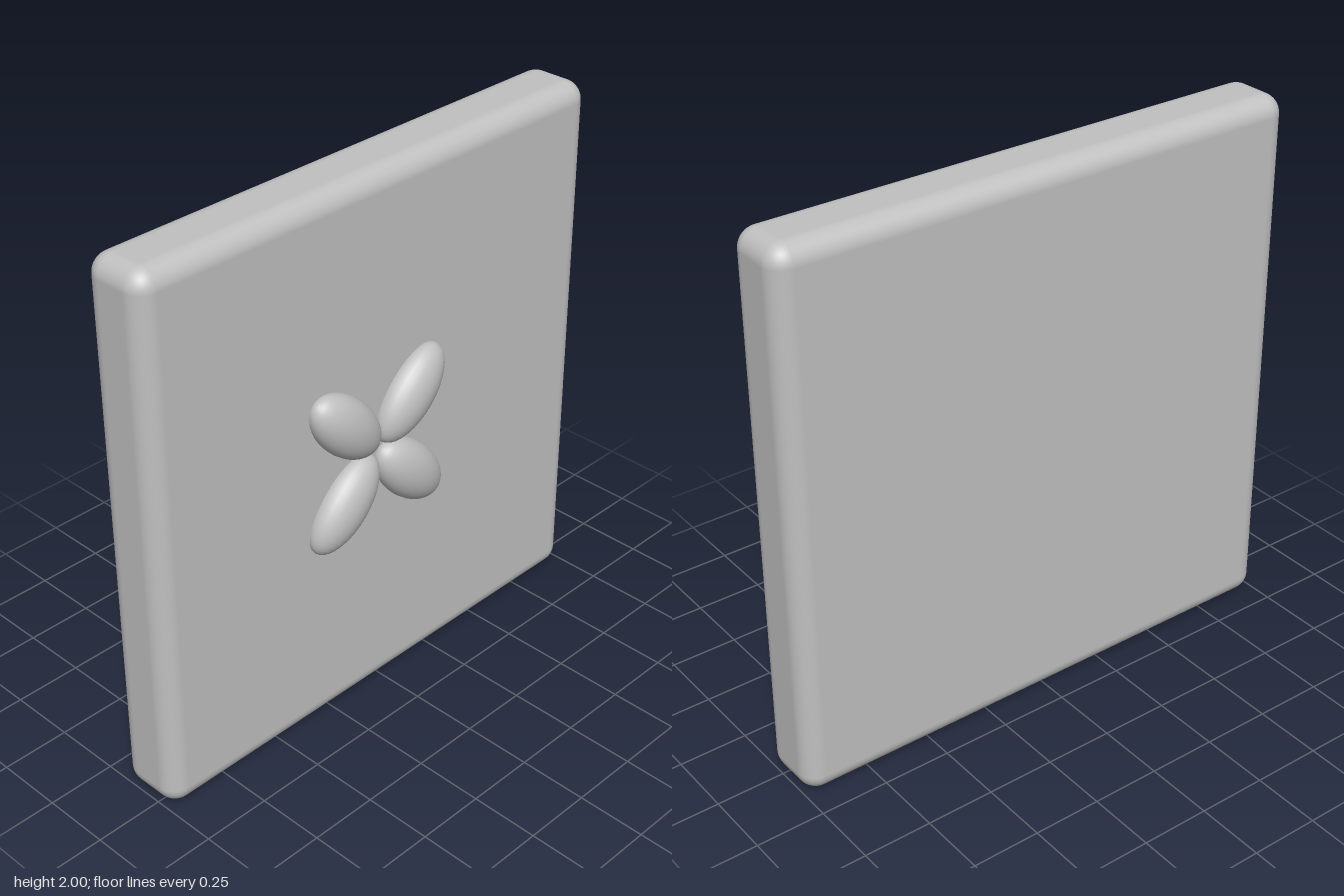
import * as THREE from 'three';
import { RoundedBoxGeometry } from 'three/addons/geometries/RoundedBoxGeometry.js';

export function createModel() {
  const model = new THREE.Group();
  model.name = 'flowerTile';
  const stone = new THREE.MeshStandardMaterial({ color: 0xc0c0c0 });
  stone.name = 'light grey';

  // Square slab with softly rounded edges
  const slab = new THREE.Mesh(new RoundedBoxGeometry(2, 2, 0.25, 5, 0.07), stone);
  slab.name = 'slab';
  slab.position.set(0, 1, -0.045);
  model.add(slab);

  // Four ellipsoid petals, half sunk into the front face
  const flower = new THREE.Group();
  flower.name = 'flower';
  const petalGeometry = new THREE.SphereGeometry(1, 28, 18);
  petalGeometry.rotateZ(Math.PI / 2); // poles at the petal tips
  petalGeometry.scale(0.19, 0.1, 0.078);
  const petals = [
    ['petalUpperLeft', 0.108, 1.157, 45],
    ['petalUpperRight', -0.197, 1.159, 135],
    ['petalLowerRight', -0.204, 0.858, 225],
    ['petalLowerLeft', 0.102, 0.857, 315],
  ];
  for (const [name, x, y, angle] of petals) {
    const petal = new THREE.Mesh(petalGeometry, stone);
    petal.name = name;
    petal.position.set(x, y, 0.09);
    petal.rotation.z = THREE.MathUtils.degToRad(angle);
    flower.add(petal);
  }
  model.add(flower);
  return model;
}
